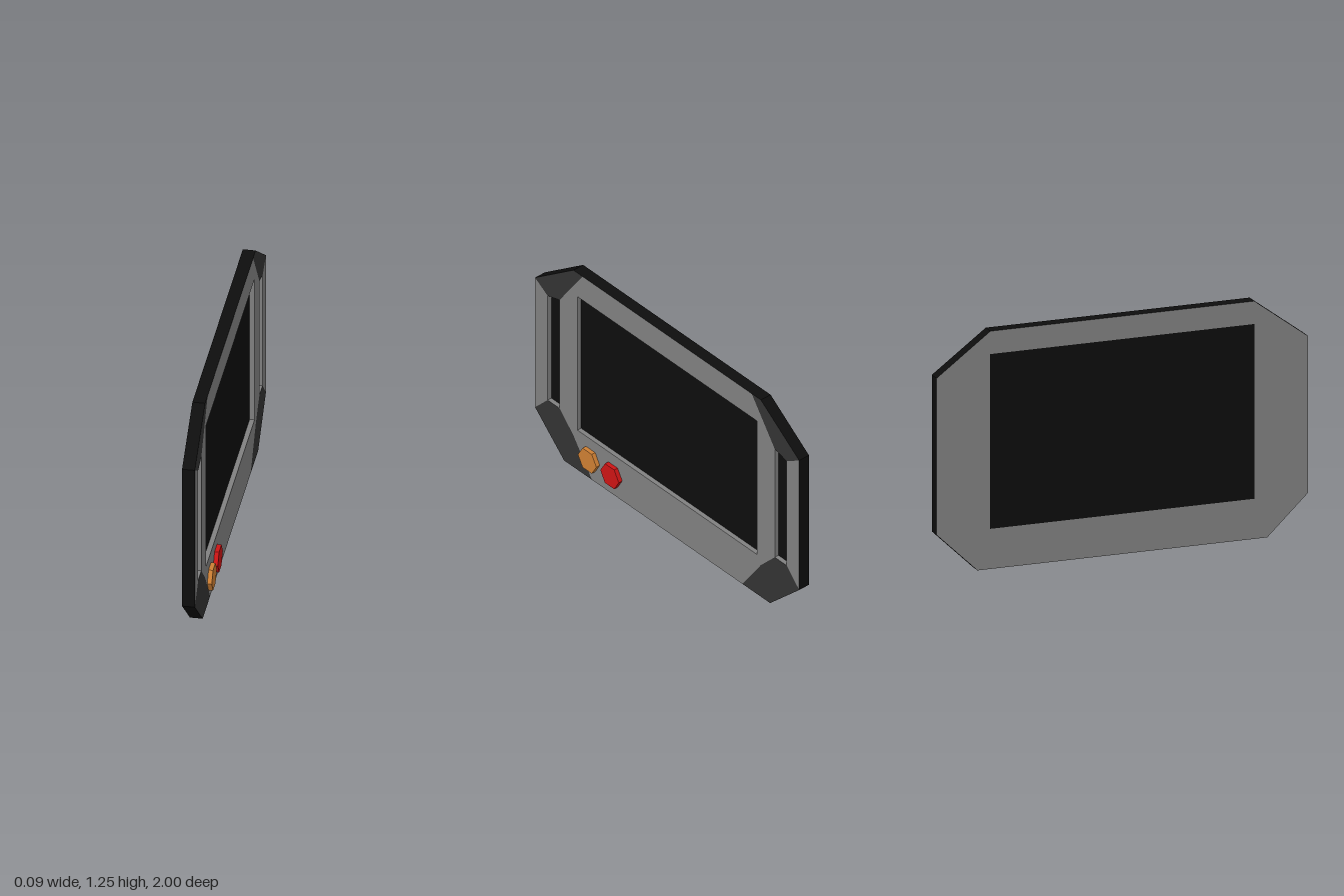
import * as THREE from 'three';

const FRONT = 0.02, FLOOR = -0.005, BACK = -0.045;

const paint = (color) => new THREE.MeshStandardMaterial({ color });
const toShape = (pts) => new THREE.Shape(pts.map(([u, y]) => new THREE.Vector2(u, y)));
const mirror = (pts) => pts.map(([u, y]) => [-u, y]).reverse();
const rect = (u, y0, y1) => [[-u, y0], [u, y0], [u, y1], [-u, y1]];

// Flat panel drawn in (u, y), with u running along -z, facing +x (or -x when back is true)
function panel(pts, x, hole, back = false) {
  const shape = toShape(pts);
  if (hole) shape.holes.push(toShape(hole));
  const geo = new THREE.ShapeGeometry(shape);
  geo.rotateY(back ? -Math.PI / 2 : Math.PI / 2);
  return geo.translate(x, 0, 0);
}

// Wall around a counter-clockwise loop, facing outward; reverse the loop to face inward
function wall(pts, x0, x1) {
  const pos = [];
  pts.forEach(([u, y], i) => {
    const [v, w] = pts[(i + 1) % pts.length];
    pos.push(x0, y, -u, x0, w, -v, x1, w, -v, x0, y, -u, x1, w, -v, x1, y, -u);
  });
  const geo = new THREE.BufferGeometry();
  geo.setAttribute('position', new THREE.Float32BufferAttribute(pos, 3));
  geo.computeVertexNormals();
  return geo;
}

export function createModel() {
  const model = new THREE.Group();
  model.name = 'handheldScreen';
  const grey = paint(0x808080), dark = paint(0x333333), black = paint(0x0d0d0d);
  const add = (name, geo, mat) => {
    const mesh = new THREE.Mesh(geo, mat);
    mesh.name = name;
    model.add(mesh);
    return mesh;
  };

  // Outer case: black rim and grey back with its large dark panel
  const half = [[0.78, 0], [1, 0.21], [1, 1.03], [0.71, 1.245]];
  const outline = [...half, ...mirror(half)];
  const backPanel = rect(0.712, 0.21, 1.125);
  add('rim', wall(outline, BACK, FRONT), black);
  add('backPlate', panel(outline, BACK, backPanel, true), grey);
  add('backPanel', panel(backPanel, BACK, null, true), black);

  // Front bezel with the recessed screen
  const side = [[0.57, 0], [0.71, 0.2], [0.815, 0.31], [0.815, 0.995], [0.64, 1.245]];
  const screen = rect(0.68, 0.25, 1.095);
  add('bezel', panel([...side, ...mirror(side)], FRONT, screen), grey);
  add('screenRecess', wall([...screen].reverse(), FLOOR, FRONT), grey);
  add('screen', panel(screen, FLOOR), black);

  // Side grips, grooves and dark corner guards, mirrored to both ends
  const groove = [[0.815, 0.31], [0.905, 0.31], [0.905, 0.97], [0.815, 0.995]];
  const grip = [[0.905, 0.31], [1, 0.21], [1, 1.03], [0.905, 0.97]];
  const upper = [[0.64, 1.245], [0.815, 0.995], [0.905, 0.97], [1, 1.03], [0.71, 1.245]];
  const lower = [[0.57, 0], [0.78, 0], [1, 0.21], [0.905, 0.31], [0.815, 0.31], [0.71, 0.2]];
  for (const [end, place] of [['back', (p) => p], ['front', mirror]]) {
    add(end + 'Grip', panel(place(grip), FRONT), grey);
    add(end + 'UpperCorner', panel(place(upper), FRONT), dark);
    add(end + 'LowerCorner', panel(place(lower), FRONT), dark);
    add(end + 'GrooveWall', wall([...place(groove)].reverse(), FLOOR, FRONT), grey);
    add(end + 'GrooveFloor', panel(place(groove), FLOOR), black);
  }

  // Hexagonal buttons
  for (const [name, z, color] of [['orangeButton', 0.58, 0xcc7e33], ['redButton', 0.41, 0xcc1414]]) {
    const mat = paint(color);
    mat.flatShading = true;
    const geo = new THREE.CylinderGeometry(0.07, 0.07, 0.033, 6).rotateZ(-Math.PI / 2);
    add(name, geo, mat).position.set(0.0265, 0.125, z);
  }
  return model;
}
